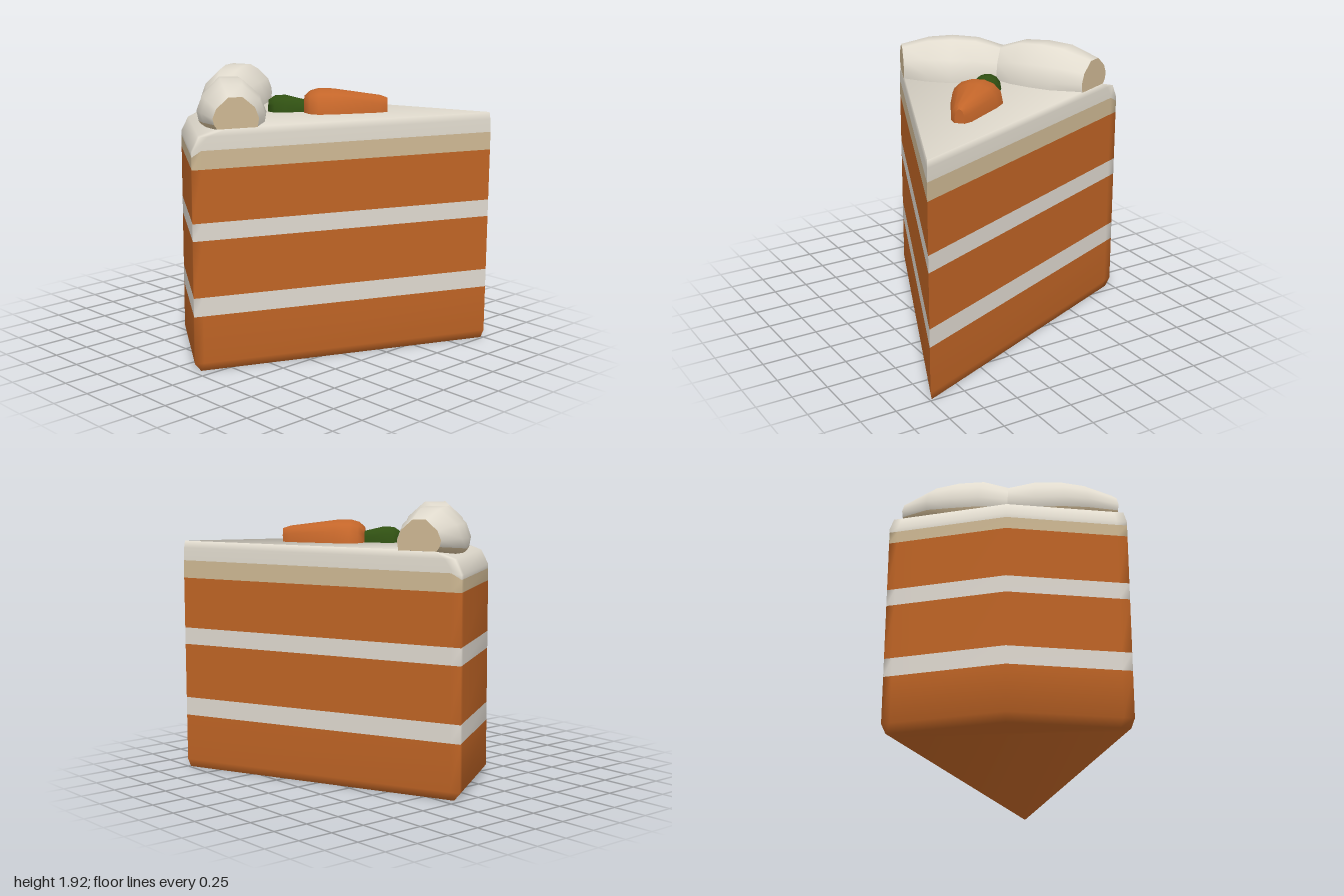
import * as THREE from 'three';
import { toCreasedNormals } from 'three/addons/utils/BufferGeometryUtils.js';

const paint = (name, color) => {
  const m = new THREE.MeshStandardMaterial({ color });
  m.name = name;
  return m;
};

// Skin a series of closed rings; matOf(j) gives the material of strip j, 'first' or 'last' cap
function loft(name, rings, materials, crease, { first = true, last = true, matOf = () => 0 } = {}) {
  const pos = [], groups = [], n = rings[0].length, end = rings.length - 1;
  const run = (key, emit) => {
    const start = pos.length / 3;
    emit();
    groups.push([start, pos.length / 3 - start, matOf(key)]);
  };
  const tri = (...pts) => pts.forEach((p) => pos.push(...p));
  for (let j = 0; j < n; j++) run(j, () => {
    const k = (j + 1) % n;
    for (let i = 0; i < end; i++) {
      tri(rings[i][j], rings[i][k], rings[i + 1][k]);
      tri(rings[i][j], rings[i + 1][k], rings[i + 1][j]);
    }
  });
  const cap = (r, flip) => {
    for (let s = 1; s < n - 1; s++) {
      const a = r[1], b = r[(1 + s) % n], c = r[(2 + s) % n];
      flip ? tri(a, c, b) : tri(a, b, c);
    }
  };
  if (first) run('first', () => cap(rings[0], true));
  if (last) run('last', () => cap(rings[end], false));
  let geo = new THREE.BufferGeometry();
  geo.setAttribute('position', new THREE.Float32BufferAttribute(pos, 3));
  geo = toCreasedNormals(geo, crease);
  geo.clearGroups();
  groups.forEach((g) => geo.addGroup(...g));
  const mesh = new THREE.Mesh(geo, materials);
  mesh.name = name;
  return mesh;
}

// Wedge footprint (x, z): tip, left corner, bend of the outer side, right corner,
// with extra points beside the corners to keep their rounding tight
const FOOT = [[1, -1], [-0.93, -0.199], [-1, -0.17], [-0.967, -0.12],
  [-0.54, 0.53], [0.1, 0.95], [0.16, 0.99], [0.185, 0.93]];

// Footprint shrunk towards the tip; y may differ on the outer side
function wedge(y, scale = 1, inset = 0, outerY = y) {
  return FOOT.map(([x, z], i) => [
    1 - inset + (x - 1) * scale,
    i >= 2 && i <= 6 ? outerY : y,
    -1 + inset + (z + 1) * scale,
  ]);
}

// Arched sections along a straight axis lying on the top; stations are [distance, halfWidth, height]
function arched(name, x, z, dx, dz, stations, material) {
  const steps = 7;
  const rings = stations.map(([t, w, h]) => Array.from({ length: steps + 1 }, (_, k) => {
    const a = (k / steps) * Math.PI;
    const side = w * Math.cos(a);
    const up = h * Math.pow(Math.max(0, Math.sin(a)), 0.75);
    return [x + dx * t + dz * side, 1.645 + up, z + dz * t - dx * side];
  }));
  return loft(name, rings, [material], 0.95);
}

export function createModel() {
  const sponge = paint('orange sponge', 0xbf6425);
  const cream = paint('white cream', 0xe2dccf);
  const filling = paint('pale filling', 0xdfd9d0);
  const crumb = paint('tan cream', 0xcfb994);
  const carrotOrange = paint('carrot orange', 0xc4662a);
  const leaf = paint('leaf green', 0x305012);

  const cake = new THREE.Group();
  cake.name = 'cakeSlice';

  // Sponge and filling layers, from the bottom up
  const SMOOTH = 1.9;
  cake.add(loft('bottomSponge', [wedge(0, 0.97, 0.015), wedge(0.055), wedge(0.385)],
    [sponge], SMOOTH, { last: false }));
  const layers = [
    ['lowerFilling', 0.385, 0.515, filling],
    ['middleSponge', 0.515, 0.905, sponge],
    ['upperFilling', 0.905, 1.025, filling],
    ['topSponge', 1.025, 1.385, sponge],
  ];
  for (const [name, low, high, mat] of layers) {
    cake.add(loft(name, [wedge(low), wedge(high)], [mat], SMOOTH, { first: false, last: false }));
  }

  // Tan band and the rounded white icing above it
  const seam = wedge(1.51, 1, 0, 1.47);
  cake.add(loft('icingBand', [wedge(1.385), seam], [crumb], SMOOTH, { first: false, last: false }));
  cake.add(loft('topIcing', [seam, wedge(1.53, 1, 0, 1.5), wedge(1.6, 0.975, 0.003), wedge(1.65, 0.9, 0.008)],
    [cream], SMOOTH, { first: false }));

  // Piped cream: across-profile (0 = outer, 1 = inner) and height fraction
  const profile = [[0.97, 0], [1, 0.3], [0.91, 0.65], [0.64, 1], [0.34, 1],
    [0.08, 0.66], [0, 0.36], [0.03, 0.15], [0.1, 0]];
  const piped = (name, stations, cutEnd) => {
    const rings = stations.map(([ox, oz, ix, iz, base, top]) => profile.map(([u, h]) => [
      ox + (ix - ox) * u, base + (top - base) * h, oz + (iz - oz) * u,
    ]));
    const matOf = (key) => (key === cutEnd || key === profile.length - 2 ? 1 : 0);
    return loft(name, rings, [cream, crumb], 0.95, { matOf });
  };
  cake.add(piped('leftPipedCream', [
    [-0.86, -0.225, -0.57, -0.35, 1.645, 1.85],
    [-0.82, 0.0, -0.4, -0.2, 1.61, 1.91],
    [-0.73, 0.15, -0.31, -0.06, 1.59, 1.92],
    [-0.6, 0.3, -0.245, 0.07, 1.59, 1.91],
    [-0.43, 0.42, -0.21, 0.2, 1.61, 1.855],
  ], 'first'));
  cake.add(piped('rightPipedCream', [
    [-0.43, 0.42, -0.21, 0.2, 1.61, 1.855],
    [-0.3, 0.56, -0.03, 0.24, 1.59, 1.91],
    [-0.15, 0.7, 0.11, 0.3, 1.59, 1.92],
    [0.0, 0.78, 0.24, 0.42, 1.61, 1.905],
    [0.22, 0.86, 0.34, 0.565, 1.645, 1.85],
  ], 'last'));

  // Carrot decoration and its leaves
  cake.add(arched('carrot', 0.08, -0.08, 0.7, -0.714, [
    [0, 0.09, 0.11], [0.04, 0.155, 0.145], [0.1, 0.18, 0.162],
    [0.2, 0.165, 0.16], [0.53, 0.07, 0.118], [0.58, 0.035, 0.1],
  ], carrotOrange));
  cake.add(arched('carrotLeaves', 0.09, -0.09, -0.7, 0.714, [
    [0, 0.05, 0.08], [0.15, 0.1, 0.115], [0.22, 0.095, 0.11], [0.265, 0.055, 0.08],
  ], leaf));

  return cake;
}
